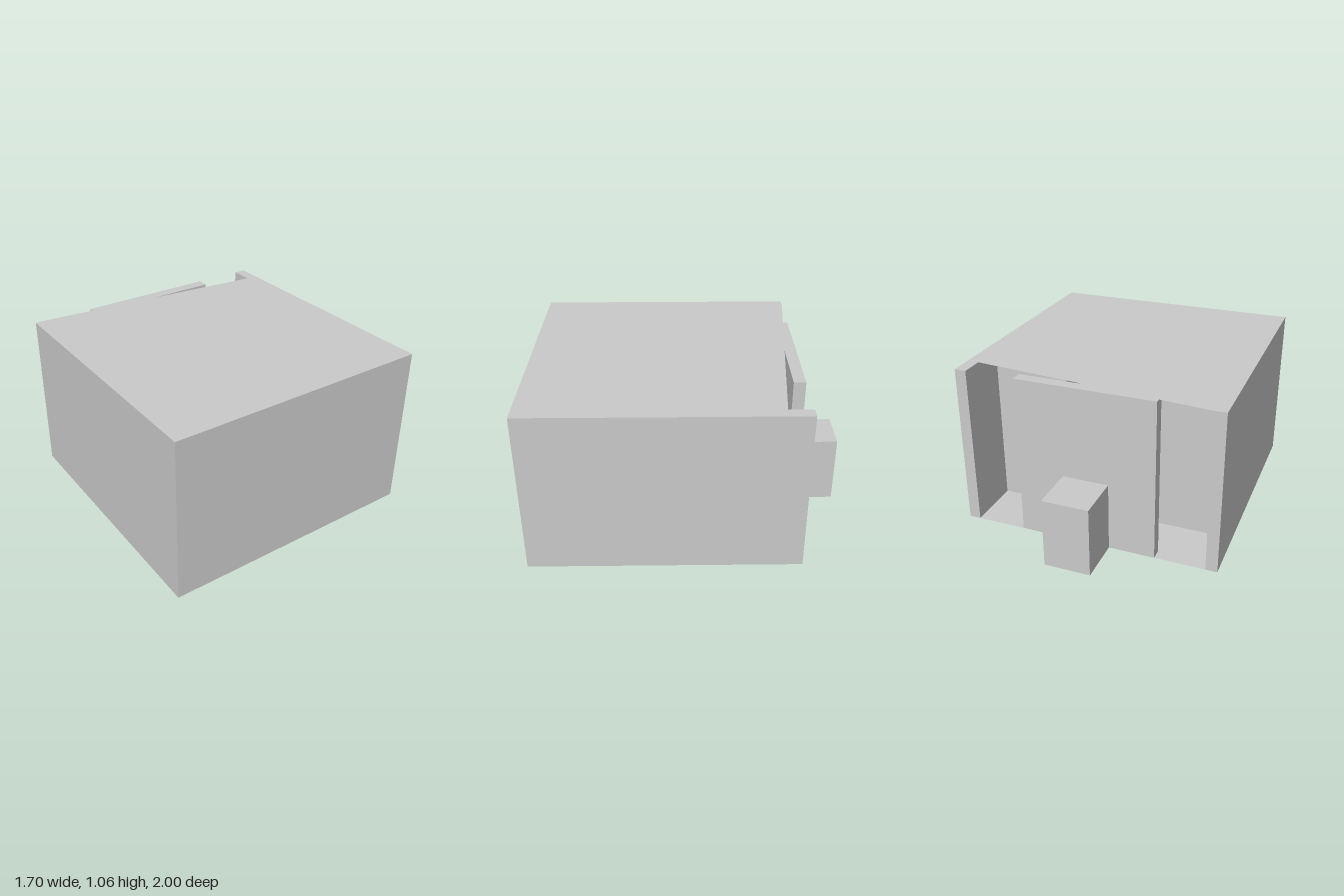
import * as THREE from 'three';

const H = 1.06;   // wall height
const T = 0.075;  // wall thickness
const material = new THREE.MeshStandardMaterial({ color: 0xcccccc, flatShading: true, side: THREE.DoubleSide });

// Box given by its x and z ranges, standing on the ground
function block(name, x0, x1, z0, z1, height = H) {
  const mesh = new THREE.Mesh(new THREE.BoxGeometry(x1 - x0, height, z1 - z0), material);
  mesh.position.set((x0 + x1) / 2, height / 2, (z0 + z1) / 2);
  mesh.name = name;
  return mesh;
}

// Thin horizontal sheet from [x, z] corners
function sheet(name, corners, y) {
  const shape = new THREE.Shape(corners.map(([x, z]) => new THREE.Vector2(x, -z)));
  const geometry = new THREE.ShapeGeometry(shape).rotateX(-Math.PI / 2);
  const mesh = new THREE.Mesh(geometry, material);
  mesh.position.y = y;
  mesh.name = name;
  return mesh;
}

export function createModel() {
  const model = new THREE.Group();
  model.name = 'building';

  // Outer shell
  model.add(block('frontWall', -0.85, 0.85, 1 - T, 1));
  model.add(block('leftWall', 0.85 - T, 0.85, -0.7, 1 - T));
  model.add(block('rightWall', -0.85, -0.85 + T, -0.7, 1 - T));

  // Back wall panel with an open entrance on either side
  model.add(block('backWall', -0.45, 0.45, -0.7, -0.7 + T));

  // Inner partition with a central doorway
  model.add(block('leftPartition', 0.28, 0.85 - T, -0.33, -0.33 + T));
  model.add(block('rightPartition', -0.85 + T, -0.28, -0.33, -0.33 + T));

  // Low block behind the building
  model.add(block('rearBlock', -0.15, 0.15, -1, -0.7, 0.455));

  // Floor, and roof with its slanted back edge
  const inner = 0.85 - T;
  model.add(sheet('floor', [[-0.85, 1], [0.85, 1], [0.85, -0.7], [-0.85, -0.7]], 0));
  model.add(sheet('roof', [[-inner, 1 - T], [inner, 1 - T], [inner, -0.55], [-0.76, -0.7], [-inner, -0.7]], H));

  return model;
}
